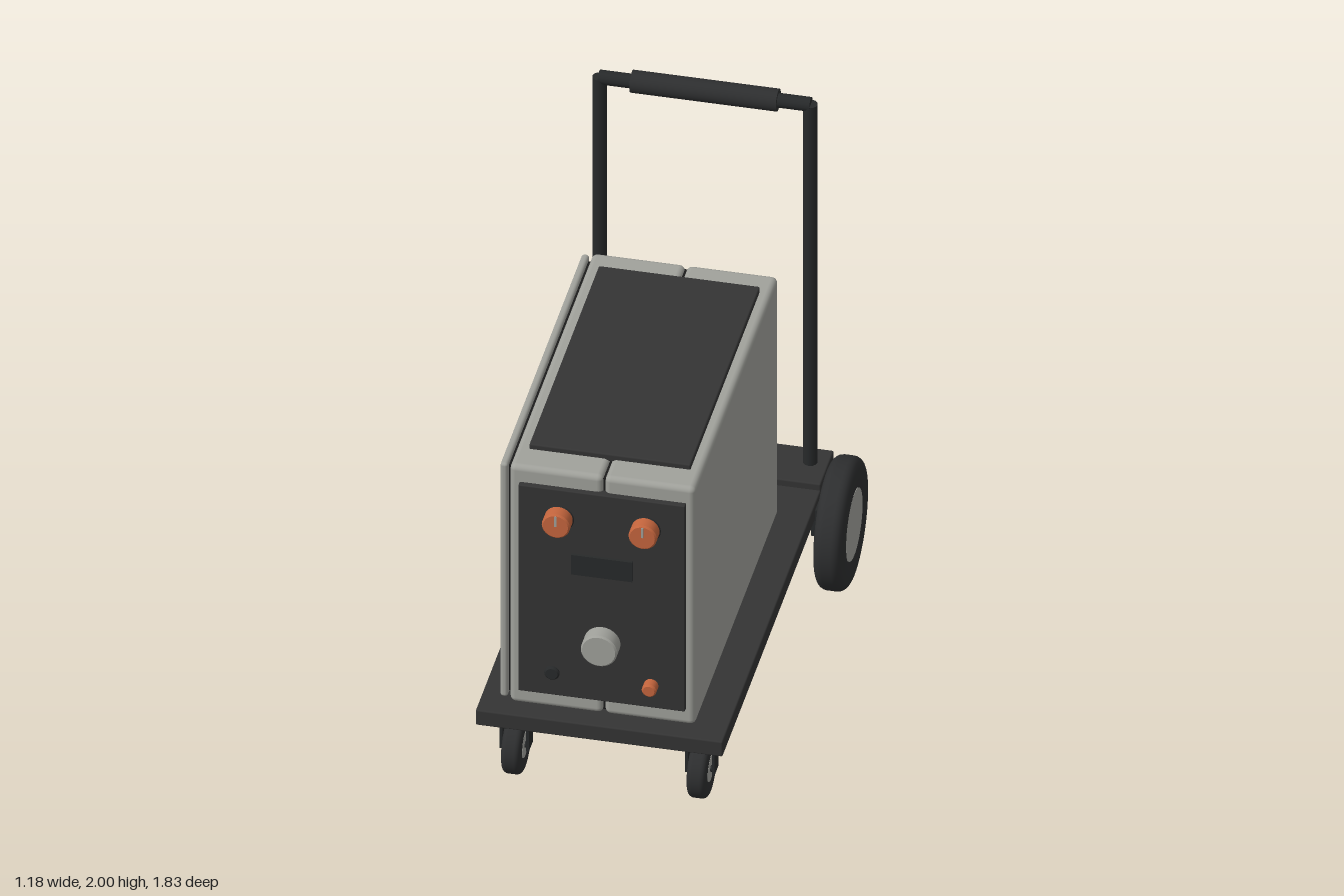
import * as THREE from 'three';
import { RoundedBoxGeometry } from 'three/addons/geometries/RoundedBoxGeometry.js';

const paint = (name, color) => Object.assign(new THREE.MeshStandardMaterial({ color }), { name });

export function createModel() {
  const grey = paint('light grey', 0xa0a19b);
  const charcoal = paint('charcoal', 0x343434);
  const rubber = paint('rubber', 0x2d2e2f);
  const frame = paint('frame black', 0x27292a);
  const slot = paint('slot black', 0x1c1c1c);
  const orange = paint('orange', 0xc4653d);

  const model = new THREE.Group();
  model.name = 'wheeledPowerUnit';

  const add = (parent, name, geometry, material) => {
    const mesh = new THREE.Mesh(geometry, material);
    mesh.name = name;
    parent.add(mesh);
    return mesh;
  };
  // Box given by its limits on each axis, with an optional rounded edge
  const box = (parent, name, material, [x0, x1], [y0, y1], [z0, z1], r = 0) => {
    const size = [x1 - x0, y1 - y0, z1 - z0];
    const geo = r ? new RoundedBoxGeometry(...size, 3, r) : new THREE.BoxGeometry(...size);
    geo.translate((x0 + x1) / 2, (y0 + y1) / 2, (z0 + z1) / 2);
    return add(parent, name, geo, material);
  };
  const group = (name, parent = model) => {
    const g = new THREE.Group();
    g.name = name;
    parent.add(g);
    return g;
  };

  // Trolley base
  const base = group('base');
  box(base, 'deck', charcoal, [-0.455, 0.455], [0.29, 0.356], [-0.91, 0.91], 0.006);
  box(base, 'rearPlate', charcoal, [-0.455, 0.455], [0.35, 0.384], [-0.913, -0.695], 0.006);

  // Cabinet: two shells meeting at a centre seam
  const cabinet = group('cabinet');
  box(cabinet, 'rightShell', grey, [-0.347, -0.003], [0.356, 1.4], [-0.53, 0.835], 0.022);
  box(cabinet, 'leftShell', grey, [0.003, 0.337], [0.356, 1.4], [-0.53, 0.835], 0.022);
  box(cabinet, 'seam', slot, [-0.02, 0.02], [0.37, 1.385], [-0.515, 0.82]);
  box(cabinet, 'topPad', charcoal, [-0.3, 0.294], [1.39, 1.421], [-0.42, 0.72], 0.006);

  // Side door with latch and upright louvres
  const door = group('sideDoor');
  box(door, 'doorGasket', slot, [-0.36, -0.34], [0.385, 1.375], [-0.5, 0.8]);
  box(door, 'doorPanel', grey, [-0.385, -0.357], [0.366, 1.393], [-0.522, 0.822], 0.012);
  box(door, 'latch', orange, [-0.395, -0.38], [0.873, 0.947], [-0.48, -0.28], 0.004);
  for (let i = 0; i < 5; i++) {
    const z = 0.17 + i * 0.116;
    box(door, 'sideVent', slot, [-0.39, -0.383], [0.5, 0.87], [z - 0.011, z + 0.011]);
  }

  // Rear vents
  for (let i = 0; i < 6; i++) {
    const y = 0.687 + i * 0.068;
    box(cabinet, 'rearVent', slot, [0.06, 0.3], [y - 0.012, y + 0.012], [-0.537, -0.525]);
  }

  // Control panel
  const panel = group('controlPanel');
  box(panel, 'facePlate', charcoal, [-0.31, 0.304], [0.428, 1.333], [0.82, 0.856], 0.004);
  box(panel, 'display', frame, [-0.113, 0.113], [0.977, 1.063], [0.85, 0.867]);
  const dial = (name, material, x, y, r, front) => {
    const d = front - 0.85;
    const profile = [[r, 0], [r, d - 0.006], [r - 0.006, d], [0, d]];
    // Doubled points keep the rim crisp
    const pts = profile.flatMap(p => [new THREE.Vector2(...p), new THREE.Vector2(...p)]);
    const mesh = add(panel, name, new THREE.LatheGeometry(pts, 32), material);
    mesh.rotation.x = Math.PI / 2;
    mesh.position.set(x, y, 0.85);
  };
  for (const x of [-0.16, 0.16]) {
    dial('dialCollar', frame, x, 1.21, 0.056, 0.862);
    dial('dial', orange, x, 1.21, 0.052, 0.912);
    box(panel, 'dialMarker', grey, [x - 0.004, x + 0.004], [1.212, 1.255], [0.908, 0.915]);
  }
  dial('mainKnob', grey, 0, 0.688, 0.067, 0.917);
  dial('darkSocket', frame, -0.185, 0.527, 0.028, 0.868);
  dial('orangeSocket', orange, 0.18, 0.527, 0.027, 0.897);

  // Push handle
  const handle = group('handle');
  const rod = (name, r, length, sides, material, flat = true) => {
    const geo = new THREE.CylinderGeometry(r, r, length, sides);
    return add(handle, name, flat ? geo.toNonIndexed() : geo, material);
  };
  for (const s of [-1, 1]) {
    const post = rod('post', 0.027, 1.59, 12, frame, false);
    post.position.set(s * 0.388, 1.165, -0.825);
  }
  const bar = rod('crossbar', 0.027, 0.78, 12, frame, false);
  const grip = rod('grip', 0.042, 0.54, 24, rubber, false);
  for (const m of [bar, grip]) {
    m.rotation.z = Math.PI / 2;
    m.position.set(0, 1.958, -0.825);
  }

  // Wheel: rounded tyre with a flat hub, axle along x
  const wheel = (parent, name, r, hubR, width, bevel) => {
    const g = group(name, parent);
    const w = width / 2, inner = hubR * 0.96;
    const pts = [new THREE.Vector2(inner, -w * 0.8), new THREE.Vector2(hubR + 0.01, -w)];
    for (const s of [-1, 1]) {
      for (let i = 0; i <= 5; i++) {
        const a = (s < 0 ? i - 5 : i) * Math.PI / 10;
        pts.push(new THREE.Vector2(r - bevel + bevel * Math.cos(a), s * (w - bevel) + bevel * Math.sin(a)));
      }
    }
    pts.push(new THREE.Vector2(hubR + 0.01, w), new THREE.Vector2(inner, w * 0.8));
    add(g, 'tyre', new THREE.LatheGeometry(pts, 48), rubber).rotation.z = Math.PI / 2;
    add(g, 'hub', new THREE.CylinderGeometry(hubR, hubR, width * 0.96, 40), grey).rotation.z = Math.PI / 2;
    return g;
  };

  for (const s of [-1, 1]) {
    const side = s > 0 ? 'left' : 'right';
    const span = (a, b) => (s > 0 ? [a, b] : [-b, -a]);

    // Large rear wheels
    wheel(model, side + 'RearWheel', 0.247, 0.135, 0.105, 0.035).position.set(s * 0.536, 0.248, -0.665);
    box(model, side + 'AxleBracket', frame, span(0.44, 0.488), [0.218, 0.332], [-0.735, -0.605]);

    // Front casters
    const caster = group(side + 'Caster');
    wheel(caster, 'casterWheel', 0.112, 0.05, 0.07, 0.02).position.set(s * 0.342, 0.116, 0.747);
    box(caster, 'casterMount', frame, span(0.288, 0.398), [0.234, 0.292], [0.692, 0.802]);
    for (const x of [0.293, 0.391]) {
      box(caster, 'forkPlate', frame, span(x - 0.005, x + 0.005), [0.108, 0.24], [0.715, 0.778]);
    }
    const pin = add(caster, 'casterAxle', new THREE.CylinderGeometry(0.012, 0.012, 0.1, 12), frame);
    pin.rotation.z = Math.PI / 2;
    pin.position.set(s * 0.342, 0.116, 0.747);
  }
  return model;
}
